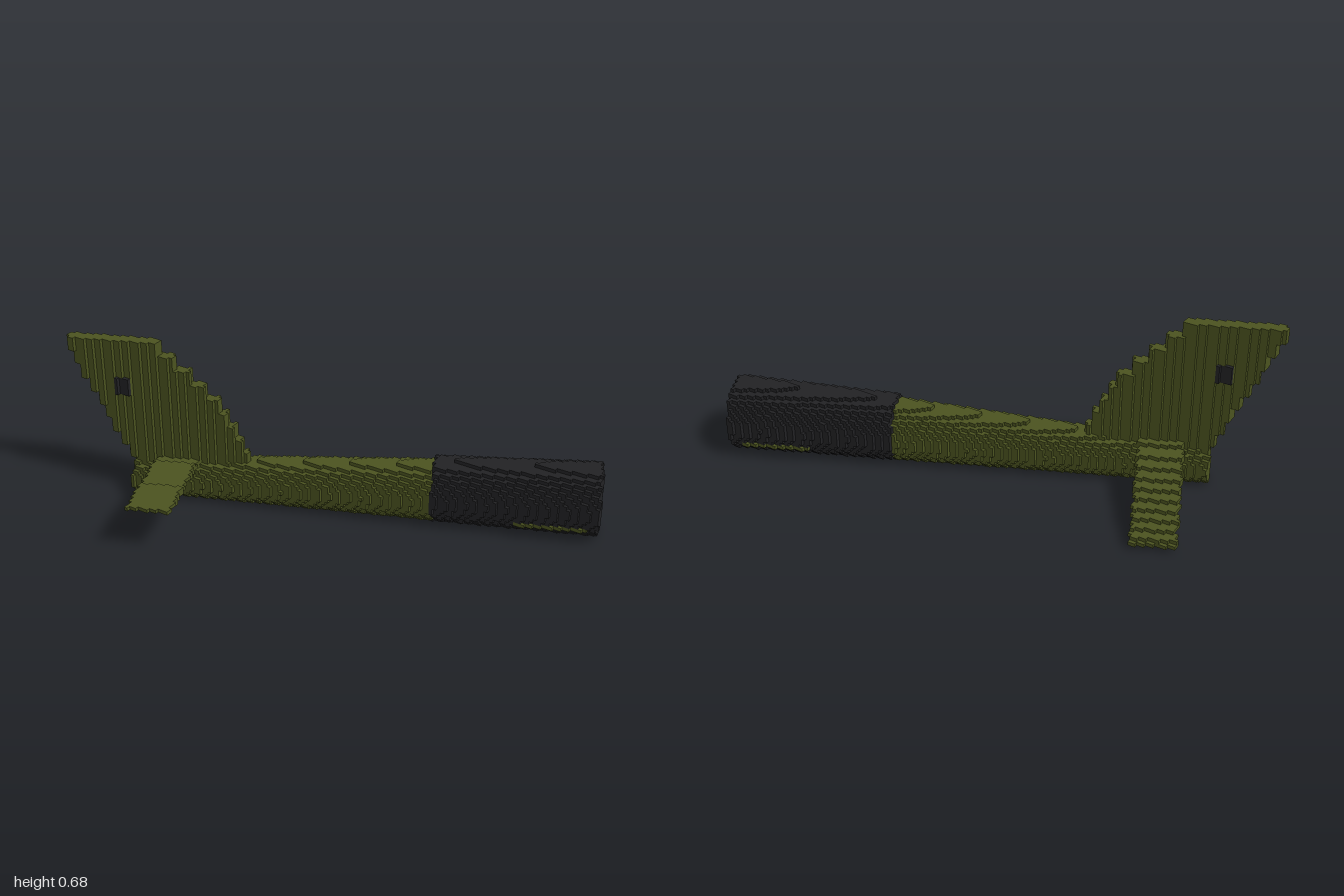
import * as THREE from 'three';

const H = 2 / 138;                       // edge of one small cube
const NX = 69, NY = 47, NZ = 43;         // half width, height, half depth in cubes
const YAW = THREE.MathUtils.degToRad(23.1);
const COS = Math.cos(YAW), SIN = Math.sin(YAW);
const AXIS = -0.086;                     // sideways offset of the boom axis

const olive = new THREE.MeshStandardMaterial({ color: 0x4b5320 });
olive.name = 'olive';
const charcoal = new THREE.MeshStandardMaterial({ color: 0x222224 });
charcoal.name = 'charcoal';

const lerp = THREE.MathUtils.mapLinear;
const between = (a, lo, hi) => a >= lo && a <= hi;
const round = (y, d, r) => d * d + (y - r) ** 2 < r * r;

// Each part: u runs along the boom, y is up, d is the sideways distance from the axis
const parts = [
  { name: 'finLight', material: charcoal,
    inside: (u, y, d) => between(u, -0.857, -0.805) && between(y, 0.45, 0.52) && Math.abs(d) < 0.036 },
  { name: 'sideStrips', material: olive,
    inside: (u, y, d) => between(u, 0.745, 1.02) && between(y, 4 * H, 5 * H) && between(Math.abs(d), 0.1, 0.128) },
  { name: 'frontSleeve', material: charcoal,
    inside: (u, y, d) => between(u, 0.42, 1.066) && round(y, d, lerp(u, 0.42, 1.066, 0.125, 0.14)) },
  { name: 'tailBoom', material: olive,
    inside: (u, y, d) => between(u, -0.805, 0.42) && round(y, d, lerp(u, -0.805, 0.42, 0.071, 0.118)) },
  { name: 'tailFin', material: olive,
    inside: (u, y, d) => {
      if (y < 0.1 || Math.abs(d) > 0.025) return false;
      // stepped swept outline, four cubes per step
      const step = (NY - 2 - 4 * Math.floor((NY * H - y) / (4 * H))) * H;
      const rear = lerp(step, 0.185, 0.65, -0.822, -1.042);
      const front = step < 0.42 ? lerp(step, 0.185, 0.42, -0.327, -0.441) : lerp(step, 0.42, 0.65, -0.441, -0.675);
      return between(u, rear, front);
    } },
  { name: 'stabilizer', material: olive,
    inside: (u, y, d) => {
      if (!between(u, -0.703, -0.535) || !between(d, -0.488, 0.46)) return false;
      // one half rises gently, the other droops
      const mid = d > 0 ? 0.165 + 0.033 * d / 0.46 : 0.165 - 0.14 * (-d / 0.48) ** 1.3;
      return Math.abs(y - mid) < 0.0105;
    } },
];

// Fill the grid with part numbers (0 is empty)
function fillGrid() {
  const cells = new Map();
  for (let i = -NX; i < NX; i++) for (let k = -NZ; k < NZ; k++) {
    const x = (i + 0.5) * H, z = (k + 0.5) * H;
    const u = x * COS - z * SIN, d = x * SIN + z * COS - AXIS;
    for (let j = 0; j < NY; j++) {
      const n = parts.findIndex(p => p.inside(u, (j + 0.5) * H, d));
      if (n >= 0) cells.set(`${i},${j},${k}`, { at: [i, j, k], n });
    }
  }
  return cells;
}

// Outer cube faces of one part
function buildFaces(cells, part) {
  const pos = [], nor = [], index = [];
  for (const { at, n } of cells.values()) {
    if (n !== part) continue;
    for (let a = 0; a < 3; a++) for (const s of [-1, 1]) {
      const next = [...at];
      next[a] += s;
      if (cells.has(next.join())) continue;
      const b = (a + 1) % 3, c = (a + 2) % 3, start = pos.length / 3;
      const normal = [0, 0, 0];
      normal[a] = s;
      for (const [p, q] of [[0, 0], [1, 0], [1, 1], [0, 1]]) {
        const v = [...at];
        if (s > 0) v[a] += 1;
        v[b] += p;
        v[c] += q;
        pos.push(v[0] * H, v[1] * H, v[2] * H);
        nor.push(...normal);
      }
      const order = s > 0 ? [0, 1, 2, 0, 2, 3] : [0, 2, 1, 0, 3, 2];
      index.push(...order.map(o => start + o));
    }
  }
  const geometry = new THREE.BufferGeometry();
  geometry.setAttribute('position', new THREE.Float32BufferAttribute(pos, 3));
  geometry.setAttribute('normal', new THREE.Float32BufferAttribute(nor, 3));
  geometry.setIndex(index);
  return geometry;
}

export function createModel() {
  const group = new THREE.Group();
  group.name = 'tailSection';
  const cells = fillGrid();
  parts.forEach((part, n) => {
    const mesh = new THREE.Mesh(buildFaces(cells, n), part.material);
    mesh.name = part.name;
    group.add(mesh);
  });
  return group;
}
